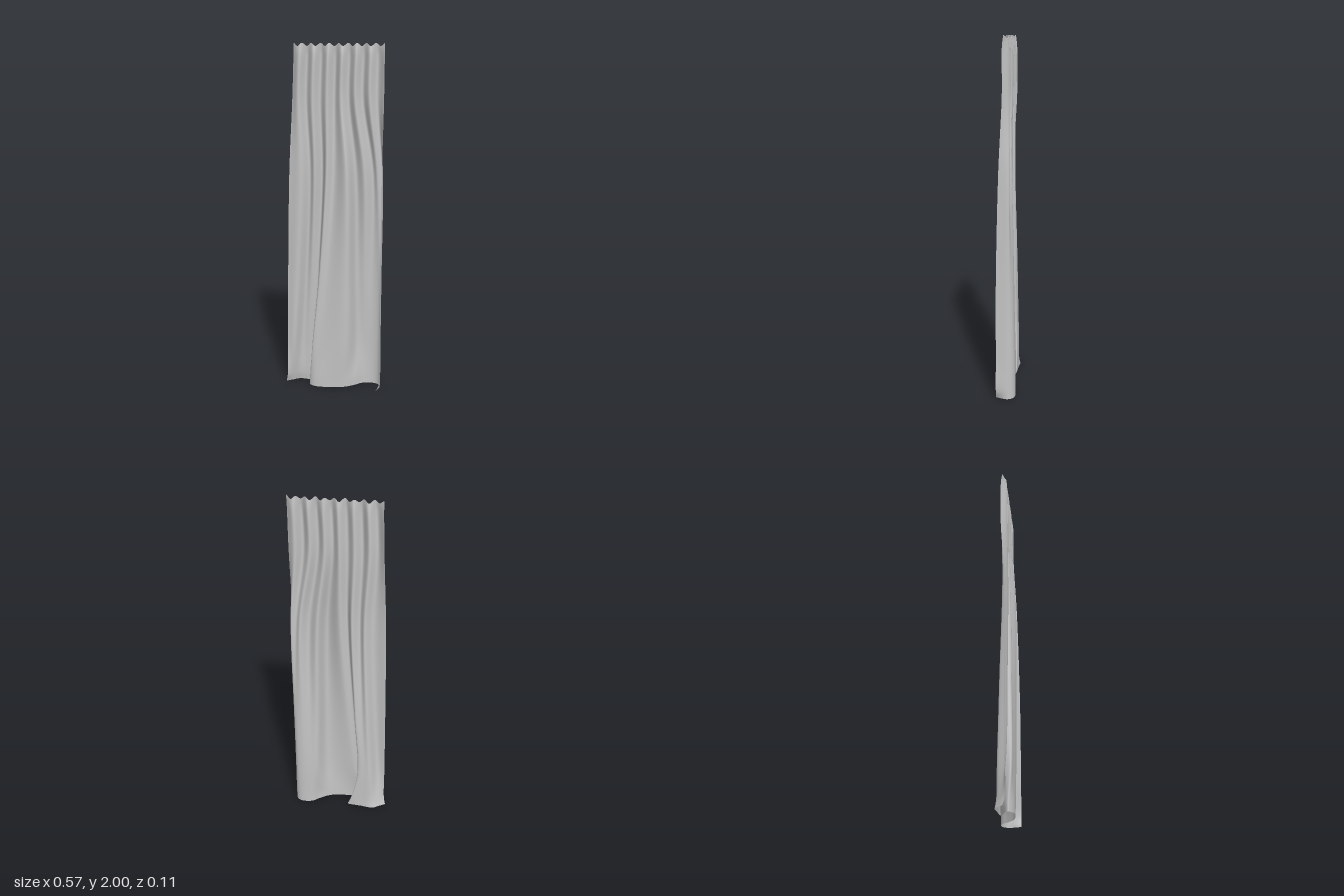
import * as THREE from 'three';

// Fold lines across the cloth (x, z), alternating ridge and valley, at several heights.
const SECTIONS = [
  { y: 1.3, pts: [[-0.25, 0], [-0.18, 0.02], [-0.135, -0.018], [-0.105, 0.01], [-0.065, -0.025], [-0.035, 0.022], [0.005, -0.005],
    [0.08, 0.042], [0.125, -0.025], [0.175, 0.005], [0.22, -0.033], [0.245, -0.015], [0.274, -0.022], [0.277, 0.035]] },
  { y: 0.7, pts: [[-0.265, 0.005], [-0.205, 0.018], [-0.16, -0.03], [-0.13, -0.02], [-0.09, -0.028], [-0.075, 0.028], [-0.03, 0.022],
    [0.085, 0.042], [0.135, -0.03], [0.18, -0.03], [0.225, -0.045], [0.262, -0.035], [0.278, -0.02], [0.28, 0.05]] },
  { y: 0.25, pts: [[-0.273, 0.01], [-0.232, 0.012], [-0.19, -0.035], [-0.155, -0.037], [-0.11, -0.03], [-0.12, 0.03], [-0.075, 0.034],
    [0.08, 0.036], [0.14, -0.035], [0.18, -0.05], [0.235, -0.052], [0.266, -0.04], [0.28, -0.015], [0.281, 0.052]] },
  { y: 0.05, pts: [[-0.276, 0.012], [-0.24, -0.015], [-0.2, -0.038], [-0.14, -0.038], [-0.07, -0.033], [-0.138, 0.014], [-0.105, 0.04],
    [0.06, 0.032], [0.13, -0.01], [0.175, -0.045], [0.235, -0.053], [0.266, -0.04], [0.281, -0.015], [0.282, 0.053]] },
  { y: 0, pts: [[-0.286, 0], [-0.25, -0.022], [-0.21, -0.045], [-0.14, -0.04], [-0.05, -0.03], [-0.14, 0.012], [-0.108, 0.041],
    [0.06, 0.03], [0.13, -0.01], [0.175, -0.045], [0.235, -0.053], [0.266, -0.04], [0.281, -0.01], [0.262, 0.054]] },
];
const COLUMNS = SECTIONS[0].pts.length;

// Regular gathered pleats for the heading
const gathered = (y, depth, left) => ({
  y,
  pts: Array.from({ length: COLUMNS }, (_, i) => [
    THREE.MathUtils.lerp(left, 0.28, i / (COLUMNS - 1)), -0.003 + (i % 2 ? depth : -depth)]),
});

function clothGeometry(across, down) {
  const keys = [gathered(2, 0.01, -0.22), gathered(1.94, 0.017, -0.222), gathered(1.7, 0.018, -0.232), ...SECTIONS];
  // One curve runs down each fold line
  const folds = Array.from({ length: COLUMNS }, (_, i) =>
    new THREE.CatmullRomCurve3(keys.map(k => new THREE.Vector3(k.pts[i][0], k.y, k.pts[i][1]))));
  const geometry = new THREE.PlaneGeometry(1, 1, across, down);
  const position = geometry.attributes.position;
  for (let r = 0; r <= down; r++) {
    const row = new THREE.CatmullRomCurve3(folds.map(f => f.getPoint(r / down)));
    for (let c = 0; c <= across; c++) {
      const u = c / across;
      const p = row.getPoint(u);
      // Scalloped top edge
      const nearTop = Math.max(0, (p.y - 1.9) / 0.1);
      p.y -= 0.016 * nearTop * Math.sin(Math.PI * 10 * u) ** 2;
      position.setXYZ(r * (across + 1) + c, p.x, THREE.MathUtils.clamp(p.y, 0, 2), p.z);
    }
  }
  geometry.computeVertexNormals();
  return geometry;
}

export function createModel() {
  const group = new THREE.Group();
  group.name = 'curtain';
  const fabric = new THREE.MeshStandardMaterial({ color: 0xc4c4c4, side: THREE.DoubleSide });
  fabric.name = 'grey fabric';
  const cloth = new THREE.Mesh(clothGeometry(130, 84), fabric);
  cloth.name = 'curtainPanel';
  group.add(cloth);
  return group;
}
